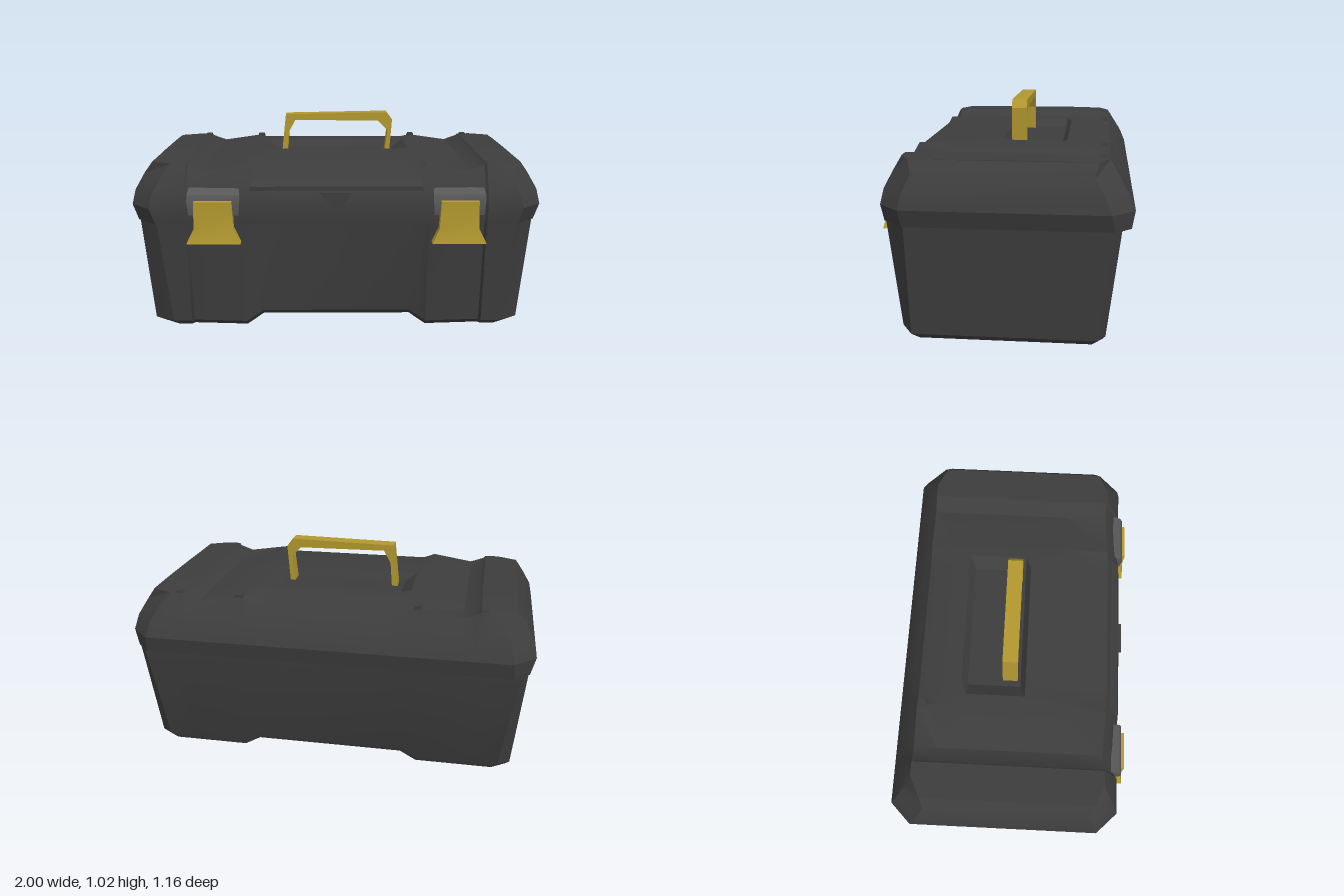
import * as THREE from 'three';
import { toCreasedNormals } from 'three/addons/utils/BufferGeometryUtils.js';

const shell = new THREE.MeshStandardMaterial({ name: 'charcoal', color: 0x3d3d3d });
const gold = new THREE.MeshStandardMaterial({ name: 'gold', color: 0xb2982f });
const grey = new THREE.MeshStandardMaterial({ name: 'grey', color: 0x575757 });

// Skins loops stacked upwards; each loop runs along the front, then back again.
function skin(loops, crease = 0.5) {
  const pos = [];
  const n = loops[0].length;
  const quad = (a, b, c, d) => pos.push(...a, ...b, ...c, ...a, ...c, ...d);
  for (let r = 0; r < loops.length - 1; r++) {
    const lo = loops[r], up = loops[r + 1];
    for (let i = 0; i < n; i++) {
      const j = (i + 1) % n;
      quad(lo[i], lo[j], up[j], up[i]);
    }
  }
  const bottom = loops[0], top = loops[loops.length - 1];
  for (let i = 0; i < n / 2 - 1; i++) {
    const k = n - 1 - i;
    quad(top[i], top[i + 1], top[k - 1], top[k]);
    quad(bottom[i], bottom[k], bottom[k - 1], bottom[i + 1]);
  }
  const g = new THREE.BufferGeometry();
  g.setAttribute('position', new THREE.Float32BufferAttribute(pos, 3));
  return toCreasedNormals(g, crease);
}

// Chamfered plan outline. Stations are [x, front offset, height offset] on the +x half;
// cf and cb are the depths of the front and back corner cuts, bx the back cut's width.
function outline({ y, hx, zf, zb, cf = 0.1, cb = 0.1, bx = 0.1, out = 1, lift = 1 }, stations) {
  const row = (cutX) => {
    const half = [...stations, [hx - cutX, 0, 0], [hx, 0, 0]];
    return [...half.slice().reverse().map(([x, o, h]) => [-x, o, h]), ...half];
  };
  const isEnd = (x) => Math.abs(x) === hx;
  const front = row(0.1).map(([x, o, h]) => [x, y + h * lift, zf + o * out - (isEnd(x) ? cf : 0)]);
  const back = row(bx).map(([x, , h]) => [x, y + h * lift, zb + (isEnd(x) ? cb : 0)]);
  return [...front, ...back.reverse()];
}

function add(parent, name, geometry, material) {
  const mesh = new THREE.Mesh(geometry, material);
  mesh.name = name;
  parent.add(mesh);
  return mesh;
}

function extrude(points, depth, z) {
  const shape = new THREE.Shape(points.map(([x, y]) => new THREE.Vector2(x, y)));
  return new THREE.ExtrudeGeometry(shape, { depth, bevelEnabled: false }).translate(0, 0, z);
}

export function createModel() {
  const model = new THREE.Group();
  model.name = 'toolbox';

  // Tapered tub: proud latch columns, set-back middle and raised belly
  const tubStations = [[0.37, -0.03, 0.045], [0.45, 0.005, 0], [0.72, -0.015, 0], [0.73, 0, 0]];
  const tub = [
    { y: 0.005, hx: 0.9, zf: 0.45, zb: -0.455, cf: 0.07, cb: 0.05, bx: 0.07 },
    { y: 0.03, hx: 0.92, zf: 0.475, zb: -0.465, cf: 0.06, cb: 0.04, bx: 0.06 },
    { y: 0.56, hx: 0.97, zf: 0.525, zb: -0.525, cb: 0.03, bx: 0.03, lift: 0 },
  ];
  add(model, 'tub', skin(tub.map((r) => outline(r, tubStations))), shell);

  // Lid: overhanging rim, sloped shoulders, two grooves, a falling middle and a handle recess
  const xs = [[0.32, 0.005], [0.38, 0.005], [0.44, 0], [0.65, -0.01], [0.72, -0.01], [0.73, 0]];
  const stations = (...heights) => xs.map(([x, o], i) => [x, o, heights[i]]);
  const rim = stations(-0.03, -0.03, -0.005, -0.035, -0.01, 0);
  const crown = stations(0, 0, 0, -0.035, -0.01, 0);
  const recess = stations(-0.04, 0, 0, -0.035, -0.01, 0);
  const lid = [
    [{ y: 0.55, hx: 0.95, zf: 0.5, zb: -0.5, lift: 0 }, rim],
    [{ y: 0.55, hx: 0.975, zf: 0.53, zb: -0.565, cb: 0.07, bx: 0.07, lift: 0 }, rim],
    [{ y: 0.63, hx: 1, zf: 0.54, zb: -0.58, lift: 0 }, rim],
    [{ y: 0.7, hx: 0.985, zf: 0.525, zb: -0.55, lift: 0 }, rim],
    [{ y: 0.775, hx: 0.945, zf: 0.49, zb: -0.505, lift: 0.5 }, rim],
    [{ y: 0.835, hx: 0.9, zf: 0.46, zb: -0.47, cf: 0.05, cb: 0.05 }, rim],
    [{ y: 0.836, hx: 0.9, zf: 0.24, zb: -0.36, cf: 0, cb: 0, out: 0 }, crown],
    [{ y: 0.838, hx: 0.9, zf: 0.06, zb: -0.26, cf: 0, cb: 0, out: 0 }, crown],
    [{ y: 0.838, hx: 0.9, zf: 0.035, zb: -0.23, cf: 0, cb: 0, out: 0 }, recess],
  ];
  add(model, 'lid', skin(lid.map(([ring, s]) => outline(ring, s))), shell);

  // Finger lip and notch in the middle of the lid front
  const lip = [[0.715, 0.525, 0.42], [0.735, 0.527, 0.41], [0.765, 0.5, 0.41]].map(([y, z, w]) =>
    [[-w, y, z], [w, y, z], [w, y, z - 0.08], [-w, y, z - 0.08]]);
  add(model, 'fingerLip', skin(lip), shell);
  add(model, 'fingerNotch', extrude([[-0.08, 0.71], [-0.02, 0.635], [0.02, 0.635], [0.08, 0.71]], 0.05, 0.5), shell);

  // Carry handle with gussets at the inner corners
  const handle = [
    [-0.29, 0.79], [-0.26, 0.79], [-0.25, 0.92], [-0.215, 0.985], [0.225, 0.98], [0.275, 0.93],
    [0.26, 0.79], [0.285, 0.79], [0.3, 0.985], [0.27, 1.025], [-0.265, 1.015],
  ];
  add(model, 'handle', extrude(handle, 0.075, -0.055), gold);

  for (const side of [-1, 1]) {
    const cx = side * 0.59;

    // Latch mount: wedge on the lid front
    const mount = [[0.6, 0.55, 0.12], [0.67, 0.557, 0.125], [0.7, 0.545, 0.125], [0.725, 0.51, 0.12]].map(([y, z, w]) =>
      [[cx - w, y, z], [cx + w, y, z], [cx + w, y, 0.48], [cx - w, y, 0.48]]);
    add(model, 'latchMount', skin(mount), grey);

    // Latch: flat plate flaring to a wide pull tab
    const latch = [[0.465, 0.582, 0.13], [0.535, 0.567, 0.095], [0.67, 0.572, 0.09]].map(([y, z, w]) =>
      [[cx - w, y, z], [cx + w, y, z], [cx + w, y + 0.005, z - 0.035], [cx - w, y + 0.005, z - 0.035]]);
    add(model, 'latch', skin(latch), gold);

    // Small stop lugs at the back of the lid
    for (const x of [0.44, 0.75]) {
      const lug = extrude([[-0.035, 0.78], [0.035, 0.78], [0.02, 0.843], [-0.01, 0.843]], 0.04, -0.465);
      add(model, 'lidLug', lug, shell).position.x = side * x;
    }
  }
  return model;
}
